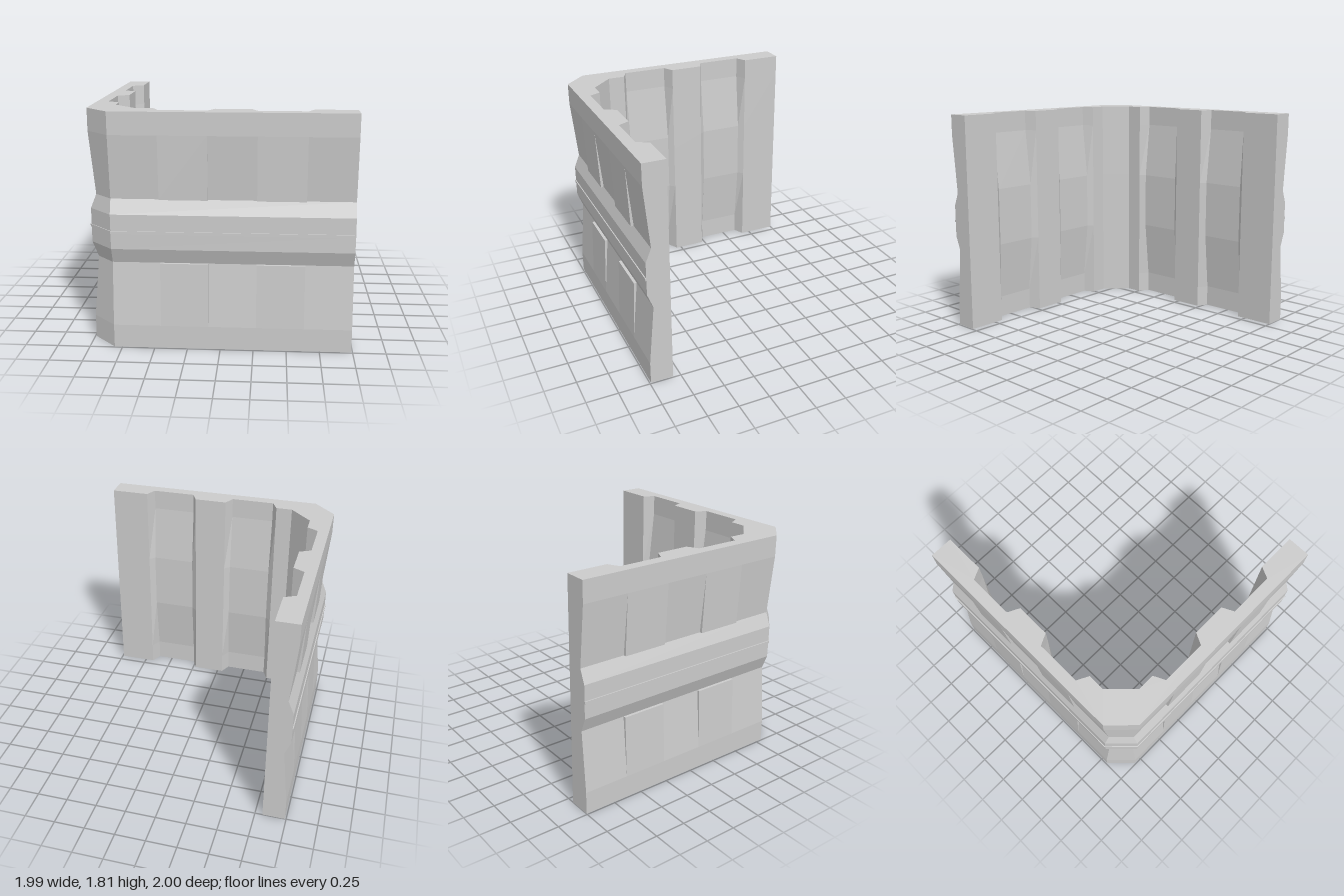
import * as THREE from 'three';

const material = new THREE.MeshStandardMaterial({ color: 0xcccccc, flatShading: true });

// Levels of the wall: height, outer face distance, niche back distance
const LEVELS = [
  [0, 0.99, 0.9], [0.18, 0.99, 0.9], [0.67, 0.945, 0.85], [0.785, 0.99, 0.85],
  [0.905, 0.99, 0.85], [0.905, 0.998, 0.85], [0.925, 0.998, 0.85], [0.925, 0.99, 0.85],
  [1.05, 0.99, 0.85], [1.16, 0.945, 0.85], [1.64, 0.99, 0.9], [1.81, 0.99, 0.9],
];
const PANEL_STARTS = [-0.45, 0.27];
const PANEL_WIDTH = 0.36;

// Plan of the corner wall at one level; one arm is the other mirrored on the diagonal
function plan(outer, niche) {
  const arm = [[-0.81, outer], [0.99, outer], [0.99, 0.81]];
  for (const x of [...PANEL_STARTS].reverse()) {
    const end = x + PANEL_WIDTH;
    arm.push([end + 0.045, 0.81], [end, niche], [x, niche], [x - 0.045, 0.81]);
  }
  arm.push([-0.63, 0.81]);
  const mirrored = arm.map(([x, z]) => [-z, x === 0.99 ? -1 : -x]).reverse();
  return [...arm, ...mirrored];
}

// Loft through all plans, closed with caps
function wallGeometry() {
  const rings = LEVELS.map(([y, outer, niche]) =>
    plan(outer, niche).map(([x, z]) => new THREE.Vector3(x, y, z)));
  const n = rings[0].length;
  const positions = [];
  const tri = (...points) => points.forEach((p) => positions.push(p.x, p.y, p.z));
  for (let k = 0; k < rings.length - 1; k++) {
    const low = rings[k], high = rings[k + 1];
    for (let i = 0; i < n; i++) {
      const j = (i + 1) % n;
      tri(low[i], low[j], high[j]);
      tri(low[i], high[j], high[i]);
    }
  }
  const bottom = rings[0], top = rings[rings.length - 1];
  const flat = top.map((p) => new THREE.Vector2(p.x, -p.z));
  for (const [a, b, c] of THREE.ShapeUtils.triangulateShape(flat, [])) {
    tri(top[a], top[b], top[c]);
    tri(bottom[a], bottom[c], bottom[b]);
  }
  const geometry = new THREE.BufferGeometry();
  geometry.setAttribute('position', new THREE.Float32BufferAttribute(positions, 3));
  geometry.computeVertexNormals();
  return geometry;
}

// Thin wedge that is thickest at baseY and meets the wall face at tipY
function panelGeometry(baseY, tipY) {
  const shape = new THREE.Shape([
    new THREE.Vector2(0.935, baseY),
    new THREE.Vector2(0.968, baseY),
    new THREE.Vector2(0.99, tipY),
  ]);
  return new THREE.ExtrudeGeometry(shape, { depth: PANEL_WIDTH, bevelEnabled: false });
}

export function createModel() {
  const model = new THREE.Group();
  model.name = 'cornerWall';

  const wall = new THREE.Mesh(wallGeometry(), material);
  wall.name = 'wall';
  model.add(wall);

  // Raised panels above and below the middle band on both outer faces
  for (const [row, baseY, tipY] of [['upper', 1.16, 1.64], ['lower', 0.67, 0.18]]) {
    const geometry = panelGeometry(baseY, tipY);
    for (const x of PANEL_STARTS) {
      const front = new THREE.Mesh(geometry, material);
      front.name = `${row}FrontPanel`;
      front.rotation.y = -Math.PI / 2;
      front.position.x = x + PANEL_WIDTH;
      const side = new THREE.Mesh(geometry, material);
      side.name = `${row}SidePanel`;
      side.rotation.y = Math.PI;
      side.position.z = -x;
      model.add(front, side);
    }
  }
  return model;
}
